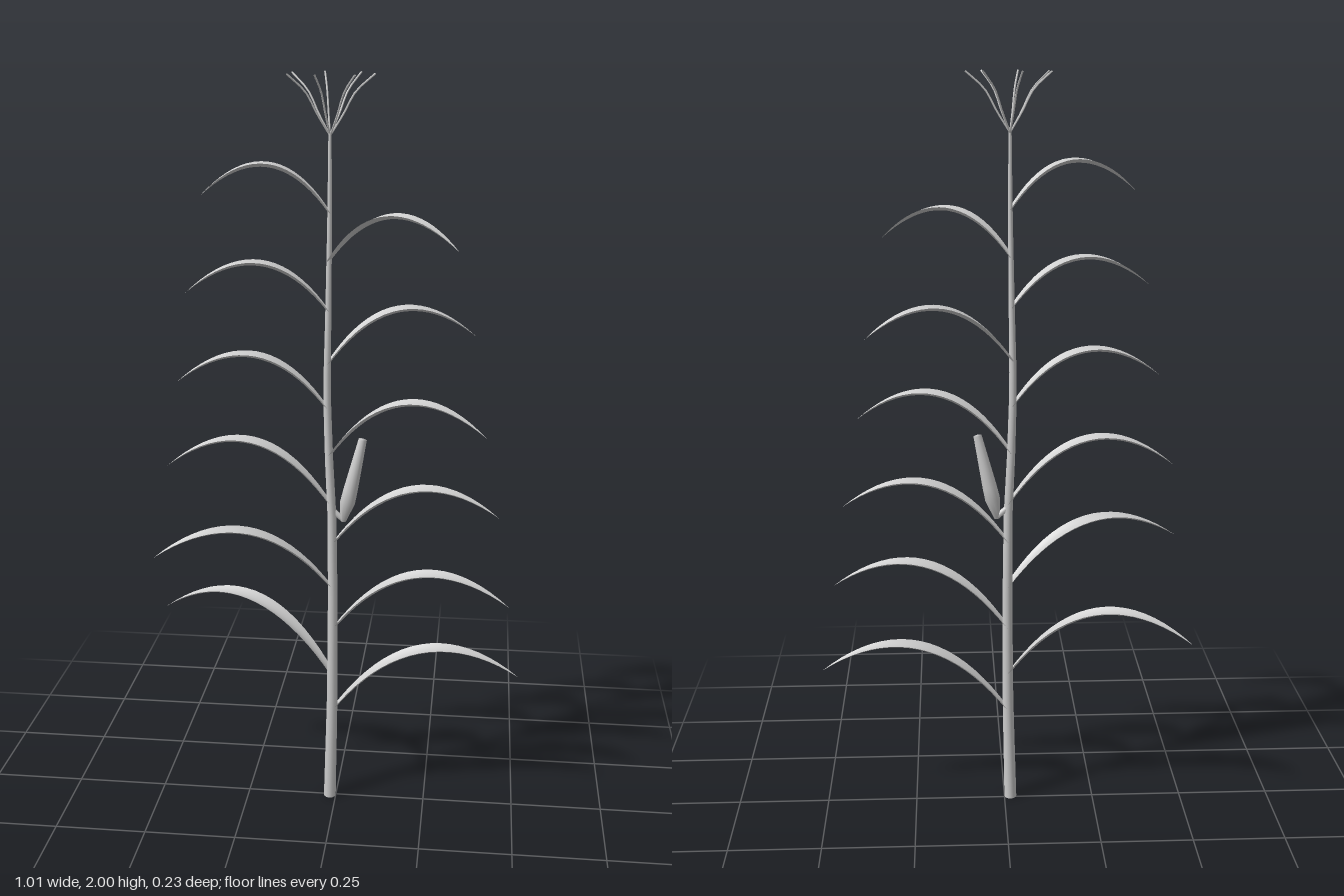
import * as THREE from 'three';

const paleGrey = new THREE.MeshStandardMaterial({ color: 0xcccccc, side: THREE.DoubleSide });
paleGrey.name = 'pale grey';

// Stalk sections: height, sideways sway, radius
const SECTIONS = [
  [0, -0.017, 0.017], [0.3, -0.01, 0.015], [0.6, -0.008, 0.0135], [0.85, -0.01, 0.012],
  [1.02, -0.018, 0.011], [1.2, -0.023, 0.01], [1.4, -0.019, 0.008], [1.65, -0.015, 0.006],
  [1.86, -0.014, 0.004],
];

function stalkAt(y) {
  let i = 0;
  while (i < SECTIONS.length - 2 && y > SECTIONS[i + 1][0]) i++;
  const [a, b] = [SECTIONS[i], SECTIONS[i + 1]];
  const t = (y - a[0]) / (b[0] - a[0]);
  return { x: THREE.MathUtils.lerp(a[1], b[1], t), r: THREE.MathUtils.lerp(a[2], b[2], t) };
}

function reshape(geometry, rule) {
  const p = geometry.attributes.position;
  const v = new THREE.Vector3();
  for (let i = 0; i < p.count; i++) {
    rule(v.fromBufferAttribute(p, i));
    p.setXYZ(i, v.x, v.y, v.z);
  }
  return geometry;
}

function addMesh(group, name, geometry) {
  const mesh = new THREE.Mesh(geometry, paleGrey);
  mesh.name = name;
  group.add(mesh);
  return mesh;
}

// Arching blade, cupped upward across its width and tapering to a point
function leafGeometry(baseY, peakY, tipX, tipY, tipZ) {
  const base = new THREE.Vector3(stalkAt(baseY).x, baseY, 0.003);
  const tip = new THREE.Vector3(tipX, tipY, tipZ);
  const rise = peakY - baseY;
  const lift = rise + Math.sqrt(rise * (rise - (tipY - baseY)));
  const mid = base.clone().lerp(tip, 0.45).setY(baseY + lift);
  const arc = new THREE.QuadraticBezierCurve3(base, mid, tip);
  const up = new THREE.Vector3(0, 1, 0);
  const side = tip.clone().sub(base).setY(0).normalize().cross(up);
  const geometry = reshape(new THREE.PlaneGeometry(2, 1, 6, 20), (v) => {
    const u = v.x, t = v.y + 0.5;
    const grow = t < 0.45
      ? 0.42 + 0.58 * Math.sin((t / 0.45) * Math.PI / 2)
      : 1 - ((t - 0.45) / 0.55) ** 2;
    const d = arc.getTangent(t);
    const normal = side.clone().cross(d);
    v.copy(arc.getPoint(t))
      .addScaledVector(side, u * 0.029 * grow)
      .addScaledVector(normal, (u * u - 0.5) * 0.011 * grow);
  });
  geometry.computeVertexNormals();
  return geometry;
}

export function createModel() {
  const plant = new THREE.Group();
  plant.name = 'cornPlant';

  // Swaying, tapering stalk
  const height = 1.86;
  addMesh(plant, 'stalk', reshape(new THREE.CylinderGeometry(1, 1, height, 12, 24), (v) => {
    v.y += height / 2;
    const s = stalkAt(v.y);
    v.x = v.x * s.r + s.x;
    v.z = v.z * s.r + 0.005;
  }));

  // Alternating leaves: base height, peak height, tip x, y, z
  const leaves = [
    [0.27, 0.475, 0.505, 0.4, 0.003], [0.38, 0.59, -0.505, 0.51, -0.118],
    [0.52, 0.705, 0.47, 0.63, 0.055], [0.64, 0.82, -0.48, 0.75, 0.1],
    [0.77, 0.94, 0.435, 0.87, 0.022], [0.88, 1.06, -0.455, 0.98, 0.01],
    [1.02, 1.18, 0.395, 1.1, 0.058], [1.15, 1.295, -0.415, 1.22, 0.035],
    [1.27, 1.415, 0.36, 1.34, -0.055], [1.41, 1.535, -0.38, 1.46, 0.05],
    [1.54, 1.66, 0.315, 1.58, 0.088], [1.66, 1.78, -0.34, 1.7, 0.04],
  ];
  leaves.forEach((leaf, i) => addMesh(plant, `leaf${i + 1}`, leafGeometry(...leaf)));

  // Ear leaning away from the stalk on a short shank
  const profile = [[0, 0], [0.008, 0], [0.021, 0.055], [0.02, 0.09], [0.0115, 0.235], [0, 0.238]];
  const ear = addMesh(plant, 'ear',
    new THREE.LatheGeometry(profile.map(([r, y]) => new THREE.Vector2(r, y)), 10));
  ear.position.set(0.02, 0.84, 0.003);
  ear.rotation.z = -0.22;
  const shank = new THREE.LineCurve3(
    new THREE.Vector3(-0.01, 0.87, 0.003), new THREE.Vector3(0.022, 0.842, 0.003));
  addMesh(plant, 'earShank', new THREE.TubeGeometry(shank, 1, 0.008, 8));

  // Tassel of seven outward-bending spikes
  const tassel = new THREE.Group();
  tassel.name = 'tassel';
  tassel.position.set(-0.014, 0, 0.003);
  plant.add(tassel);
  for (let i = 0; i < 7; i++) {
    const spike = new THREE.CatmullRomCurve3([
      new THREE.Vector3(0, 1.85, 0), new THREE.Vector3(0.032, 1.9, 0),
      new THREE.Vector3(0.063, 1.955, 0), new THREE.Vector3(0.111, 1.998, 0),
    ]);
    addMesh(tassel, `tasselSpike${i + 1}`, new THREE.TubeGeometry(spike, 8, 0.0025, 5))
      .rotation.y = (i / 7) * Math.PI * 2;
  }
  return plant;
}
